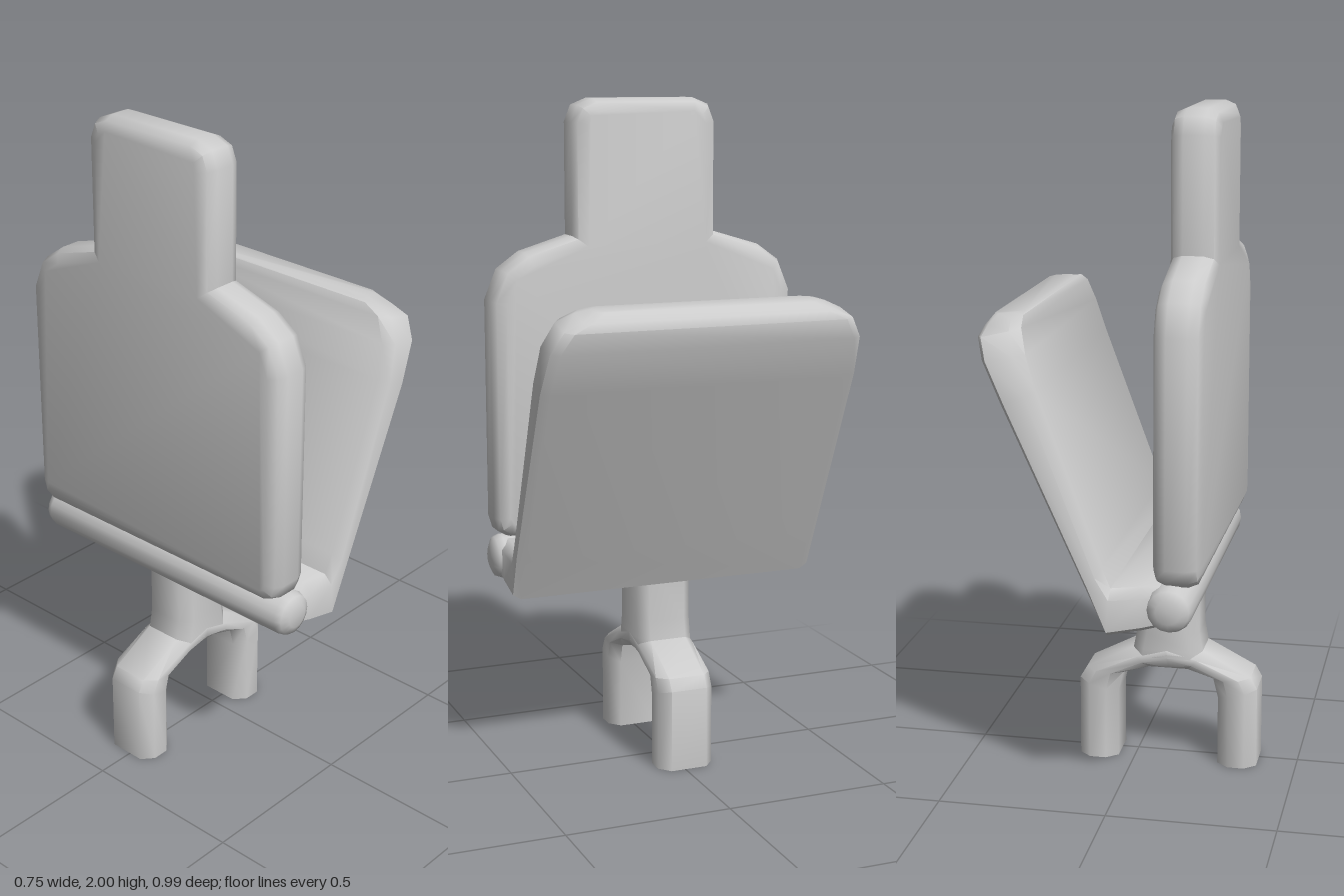
import * as THREE from 'three';
import { toCreasedNormals } from 'three/addons/utils/BufferGeometryUtils.js';

const material = new THREE.MeshStandardMaterial({ color: 0xcccccc, side: THREE.DoubleSide });
const CREASE = 0.9;

function part(name, geometry) {
  const mesh = new THREE.Mesh(toCreasedNormals(geometry, CREASE), material);
  mesh.name = name;
  return mesh;
}

// Lofts chamfered sections. A station is [ax, ay, bx, by, halfWidth]: the section
// spans a to b in the xy plane and +-halfWidth along z.
function loft(stations, bevelA, bevelB, bevelZ) {
  const pos = [], index = [], n = 8;
  for (const [ax, ay, bx, by, w] of stations) {
    const len = Math.hypot(bx - ax, by - ay);
    const ta = Math.min(bevelA / len, 0.35), tb = 1 - Math.min(bevelB / len, 0.35);
    const wi = w - bevelZ;
    const ring = [[0, -wi], [0, wi], [ta, w], [tb, w], [1, wi], [1, -wi], [tb, -w], [ta, -w]];
    for (const [t, z] of ring) pos.push(ax + (bx - ax) * t, ay + (by - ay) * t, z);
  }
  const last = (stations.length - 1) * n;
  for (let s = 0; s < last; s += n) {
    for (let i = 0; i < n; i++) {
      const j = (i + 1) % n;
      index.push(s + i, s + j, s + n + i, s + j, s + n + j, s + n + i);
    }
  }
  for (let i = 1; i < n - 1; i++) index.push(0, i + 1, i, last, last + i, last + i + 1);

  // Turn the faces outward if the enclosed volume is negative
  const p = (i) => new THREE.Vector3().fromArray(pos, i * 3);
  let volume = 0;
  for (let i = 0; i < index.length; i += 3) {
    volume += p(index[i]).dot(p(index[i + 1]).cross(p(index[i + 2])));
  }
  if (volume < 0) index.reverse();
  const g = new THREE.BufferGeometry();
  g.setAttribute('position', new THREE.Float32BufferAttribute(pos, 3));
  g.setIndex(index);
  return g;
}

// Backrest and headrest as one bevelled panel, outlined in the zy plane
function backrest() {
  const half = [
    [0.44, 0.69], [0.475, 0.71], [0.487, 0.75], [0.487, 1.41], [0.45, 1.5],
    [0.38, 1.55], [0.23, 1.595], [0.23, 1.93], [0.21, 1.98], [0.16, 2.0],
  ];
  const mirrored = half.map(([z, y]) => [-z, y]).reverse();
  const shape = new THREE.Shape([...half, ...mirrored].map(([z, y]) => new THREE.Vector2(z, y)));
  const g = new THREE.ExtrudeGeometry(shape, {
    depth: 0.06, bevelThickness: 0.04, bevelSize: 0.04, bevelOffset: -0.04, bevelSegments: 2,
  });
  g.translate(0, 0, -0.03);
  g.rotateY(-Math.PI / 2);
  g.translate(-0.2, 0, 0);
  return part('backrest', g);
}

// Tilted seat panel with the short flange that meets the hinge
function seat() {
  return part('seat', loft([
    [-0.16, 0.69, -0.16, 0.575, 0.475],
    [-0.1, 0.69, -0.1, 0.56, 0.48],
    [-0.01, 0.68, 0, 0.54, 0.484],
    [0.015, 0.74, 0.06, 0.672, 0.487],
    [0.2, 1.24, 0.3, 1.2, 0.487],
    [0.23, 1.34, 0.355, 1.32, 0.475],
    [0.25, 1.41, 0.375, 1.38, 0.44],
    [0.258, 1.435, 0.368, 1.405, 0.385],
    [0.265, 1.44, 0.35, 1.432, 0.34],
  ], 0.03, 0.015, 0.025));
}

// Hinge roll with rounded ends
function hinge() {
  const profile = [[0, -0.497], [0.035, -0.497], [0.06, -0.485], [0.068, -0.465],
    [0.068, 0.465], [0.06, 0.485], [0.035, 0.497], [0, 0.497]];
  const g = new THREE.LatheGeometry(profile.map(([r, h]) => new THREE.Vector2(r, h)), 16);
  g.rotateX(Math.PI / 2);
  g.translate(-0.18, 0.63, 0);
  return part('hinge', g);
}

// Two-legged fork under the seat, with its stem
function fork() {
  const group = new THREE.Group();
  group.name = 'fork';
  const w = 0.087;
  for (const side of [-1, 1]) {
    const leg = [
      [0.275, 0, 0.155, 0], [0.275, 0.25, 0.155, 0.215], [0.255, 0.285, 0.14, 0.275],
      [0.11, 0.36, 0.06, 0.3], [0, 0.4, 0, 0.3],
    ].map(([ax, ay, bx, by]) => [side * ax, ay, side * bx, by, w]);
    group.add(part(side < 0 ? 'rightLeg' : 'leftLeg', loft(leg, 0.035, 0.035, 0.03)));
  }
  const stem = [[0.11, 0.34], [0.106, 0.365], [0.096, 0.42], [0.096, 0.61]];
  group.add(part('stem', loft(stem.map(([x, y]) => [-x, y, x, y, w]), 0.035, 0.035, 0.03)));
  group.position.set(-0.105, 0, -0.012);
  return group;
}

export function createModel() {
  const model = new THREE.Group();
  model.name = 'foldingSeat';
  model.add(backrest(), seat(), hinge(), fork());
  return model;
}
